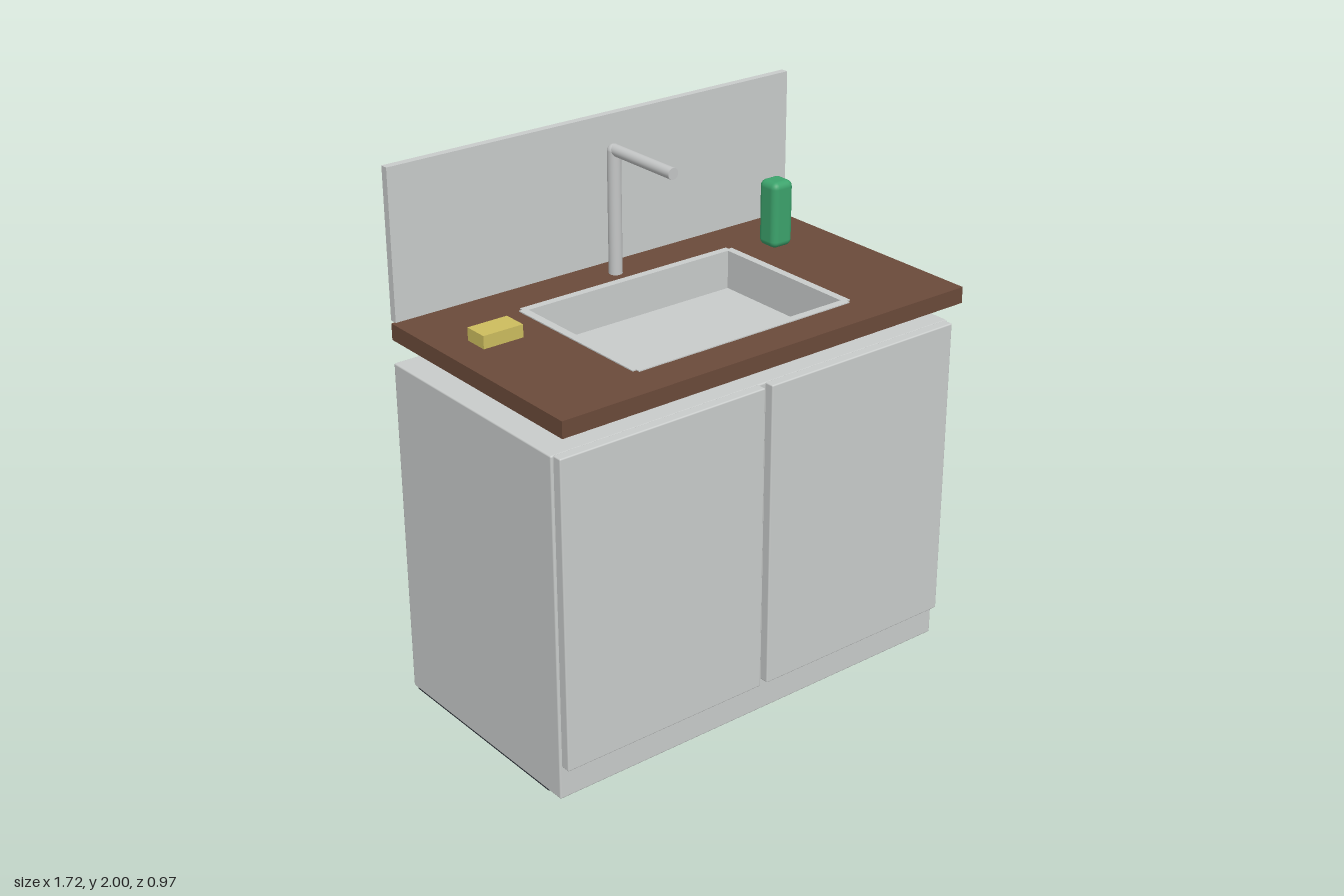
import * as THREE from 'three';
import { RoundedBoxGeometry } from 'three/addons/geometries/RoundedBoxGeometry.js';

const mat = (name, color) => {
  const m = new THREE.MeshStandardMaterial({ color });
  m.name = name;
  return m;
};

export function createModel() {
  const root = new THREE.Group();
  root.name = 'sinkCabinet';

  const grey = mat('lightGrey', 0xc9cccb);
  const wood = mat('brownWood', 0x6b4a3a);
  const dark = mat('darkPlinth', 0x2c3038);
  const steel = mat('steel', 0xc4c6c6);
  const green = mat('greenPlastic', 0x3ca36c);
  const yellow = mat('yellowSponge', 0xcdbd5e);

  const add = (name, geometry, material, parent = root) => {
    const mesh = new THREE.Mesh(geometry, material);
    mesh.name = name;
    parent.add(mesh);
    return mesh;
  };

  // Box given by its min and max on each axis, with an optional rounded edge
  const box = (name, [x0, x1], [y0, y1], [z0, z1], material, radius = 0, parent = root) => {
    const size = [x1 - x0, y1 - y0, z1 - z0];
    const geometry = radius
      ? new RoundedBoxGeometry(...size, 3, radius)
      : new THREE.BoxGeometry(...size);
    const mesh = add(name, geometry, material, parent);
    mesh.position.set((x0 + x1) / 2, (y0 + y1) / 2, (z0 + z1) / 2);
    return mesh;
  };

  // Cabinet: recessed plinth, body and a pair of doors
  box('plinth', [-0.845, 0.845], [0, 0.14], [-0.482, 0.33], dark);
  box('cabinetBody', [-0.86, 0.86], [0.02, 1.3], [-0.485, 0.42], grey, 0.006);
  box('leftDoor', [0.015, 0.85], [0.145, 1.3], [0.415, 0.455], grey, 0.005);
  box('rightDoor', [-0.85, -0.015], [0.145, 1.3], [0.415, 0.455], grey, 0.005);

  // Countertop with an opening for the basin
  const top = new THREE.Shape([
    new THREE.Vector2(-0.86, -0.485), new THREE.Vector2(0.86, -0.485),
    new THREE.Vector2(0.86, 0.485), new THREE.Vector2(-0.86, 0.485),
  ]);
  top.holes.push(new THREE.Path([
    new THREE.Vector2(-0.45, -0.295), new THREE.Vector2(-0.45, 0.325),
    new THREE.Vector2(0.45, 0.325), new THREE.Vector2(0.45, -0.295),
  ]));
  const topGeometry = new THREE.ExtrudeGeometry(top, { depth: 0.06, bevelEnabled: false });
  topGeometry.rotateX(Math.PI / 2);
  add('countertop', topGeometry, wood).position.y = 1.445;

  // Basin: floor and four walls, notched at the outer corners
  const basin = new THREE.Group();
  basin.name = 'basin';
  root.add(basin);
  const wallY = [1.285, 1.449];
  box('basinFloor', [-0.455, 0.455], [1.28, 1.304], [-0.3, 0.33], grey, 0, basin);
  box('basinBackWall', [-0.455, 0.455], wallY, [-0.315, -0.285], grey, 0, basin);
  box('basinFrontWall', [-0.455, 0.455], wallY, [0.315, 0.345], grey, 0, basin);
  box('basinLeftWall', [0.44, 0.47], wallY, [-0.3, 0.33], grey, 0, basin);
  box('basinRightWall', [-0.47, -0.44], wallY, [-0.3, 0.33], grey, 0, basin);

  // Backsplash panel, floating just above the counter
  box('backsplash', [-0.86, 0.86], [1.456, 2], [-0.485, -0.456], grey);

  // Faucet: column, rounded elbow and horizontal spout
  const faucet = new THREE.Group();
  faucet.name = 'faucet';
  faucet.position.z = -0.377;
  root.add(faucet);
  add('faucetColumn', new THREE.CylinderGeometry(0.025, 0.025, 0.455, 24), steel, faucet)
    .position.y = 1.6725;
  add('faucetElbow', new THREE.SphereGeometry(0.025, 24, 16), steel, faucet)
    .position.y = 1.897;
  const spout = add('faucetSpout', new THREE.CylinderGeometry(0.021, 0.021, 0.327, 24), steel, faucet);
  spout.rotation.x = Math.PI / 2;
  spout.position.set(0, 1.901, 0.1635);

  // Items on the counter
  box('soapBottle', [0.577, 0.671], [1.445, 1.695], [-0.283, -0.19], green, 0.025);
  box('sponge', [-0.74, -0.583], [1.445, 1.492], [-0.205, -0.112], yellow);

  return root;
}
